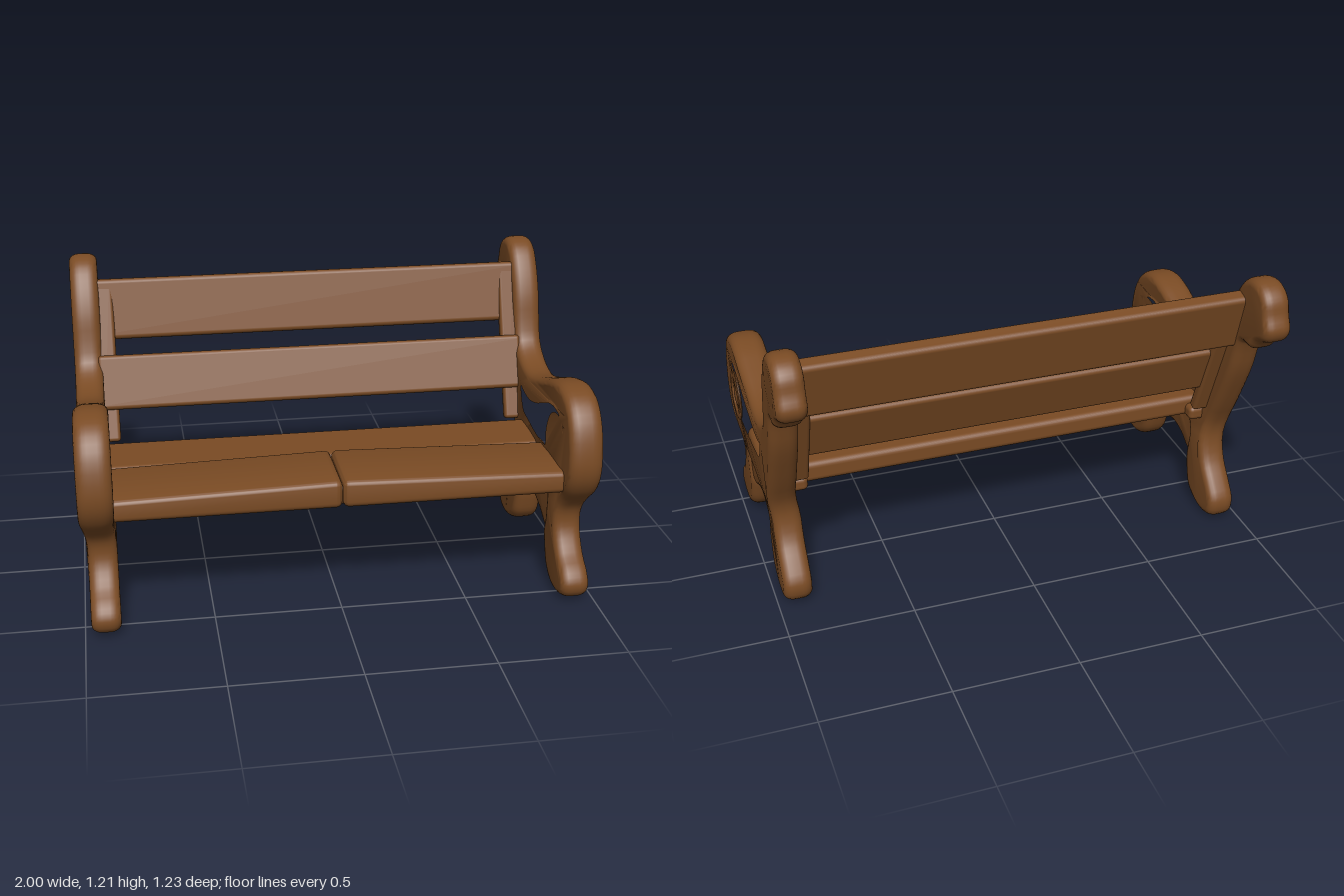
import * as THREE from 'three';
import { toCreasedNormals } from 'three/addons/utils/BufferGeometryUtils.js';
import { RoundedBoxGeometry } from 'three/addons/geometries/RoundedBoxGeometry.js';

const wood = new THREE.MeshStandardMaterial({ color: 0x7a4b24 });
wood.name = 'brown wood';

// Smooth closed loop through [z, y] points
function loop(points, samples) {
  const curve = new THREE.CatmullRomCurve3(points.map(([z, y]) => new THREE.Vector3(z, y, 0)), true);
  return curve.getPoints(samples).slice(0, -1).map(p => new THREE.Vector2(p.x, p.y));
}

// Side profile with rounded edges, 2 * half wide; place(z, y) gives [centre x, width factor]
function profile(outline, hole, half, place) {
  const shape = new THREE.Shape(loop(outline, 200));
  if (hole) shape.holes.push(new THREE.Path(loop(hole, 110)));
  const bevel = half * 0.72;
  const geo = new THREE.ExtrudeGeometry(shape, {
    depth: 2 * (half - bevel), bevelThickness: bevel, bevelSize: 0.03, bevelOffset: -0.03,
    bevelSegments: 5, steps: 1
  });
  geo.translate(0, 0, bevel - half);
  geo.rotateY(-Math.PI / 2);
  const p = geo.attributes.position;
  for (let i = 0; i < p.count; i++) {
    const [cx, f] = place(p.getZ(i), p.getY(i));
    p.setX(i, cx + p.getX(i) * f);
  }
  return toCreasedNormals(geo, 0.9);
}

const step = THREE.MathUtils.smoothstep;

const frameOutline = [
  // front foot
  [0.615, 0.08], [0.6, 0.03], [0.52, 0.002], [0.44, 0.01], [0.37, 0.06], [0.335, 0.14],
  // underside of the seat rail
  [0.32, 0.2], [0.335, 0.27], [0.325, 0.345], [0.27, 0.373], [0.1, 0.37], [-0.02, 0.365], [-0.068, 0.33], [-0.06, 0.25],
  // back foot
  [-0.055, 0.19], [-0.065, 0.13], [-0.09, 0.06], [-0.16, 0.015], [-0.25, 0.003], [-0.315, 0.03], [-0.325, 0.1],
  [-0.28, 0.17], [-0.22, 0.25], [-0.195, 0.38],
  // rear of the upright and its curled top
  [-0.27, 0.55], [-0.36, 0.75], [-0.4, 0.88], [-0.42, 0.915], [-0.49, 0.92], [-0.53, 0.965], [-0.595, 1.0],
  [-0.612, 1.045], [-0.59, 1.1], [-0.575, 1.155], [-0.535, 1.195], [-0.47, 1.21], [-0.4, 1.185], [-0.34, 1.11],
  [-0.29, 1.0], [-0.26, 0.88], [-0.23, 0.81],
  // armrest and front scroll
  [-0.15, 0.76], [-0.05, 0.74], [0.05, 0.755], [0.2, 0.805], [0.3, 0.838], [0.4, 0.85], [0.5, 0.82], [0.57, 0.74],
  [0.605, 0.6], [0.597, 0.52], [0.56, 0.45], [0.51, 0.4], [0.47, 0.34], [0.47, 0.26], [0.52, 0.18], [0.585, 0.13]
];
const armHole = [
  [-0.16, 0.69], [-0.08, 0.67], [0, 0.665], [0.1, 0.69], [0.2, 0.73], [0.3, 0.765], [0.38, 0.77], [0.45, 0.75],
  [0.495, 0.7], [0.503, 0.675], [0.46, 0.688], [0.4, 0.7], [0.34, 0.675], [0.305, 0.61], [0.306, 0.54],
  [0.29, 0.52], [0.22, 0.51], [0.1, 0.505], [0, 0.515], [-0.09, 0.535], [-0.14, 0.6], [-0.165, 0.67]
];
const archOutline = [
  [0.32, 0.185], [0.21, 0.23], [0.11, 0.255], [0.03, 0.24], [-0.05, 0.2], [-0.11, 0.25],
  [-0.11, 0.42], [0.1, 0.43], [0.39, 0.42], [0.39, 0.26]
];

export function createModel() {
  const bench = new THREE.Group();
  bench.name = 'bench';
  const add = (name, geo, x = 0, y = 0, z = 0, tilt = 0) => {
    const mesh = new THREE.Mesh(geo, wood);
    mesh.name = name;
    mesh.position.set(x, y, z);
    mesh.rotation.x = tilt;
    bench.add(mesh);
    return mesh;
  };
  const board = (name, w, h, d, r, x, y, z, tilt) =>
    add(name, new RoundedBoxGeometry(w, h, d, 3, r), x, y, z, tilt);

  for (const s of [1, -1]) {
    const side = s > 0 ? 'left' : 'right';

    // End frame, widest around the armrest and scroll
    const place = (z, y) => {
      const arm = step(y, 0.35, 0.5) * (1 - step(y, 0.86, 0.95)) * step(z, 0, 0.3);
      const cx = 0.918 + 0.017 * step(y, 0.3, 0.45);
      return [s * (cx - 0.002 * arm), (0.057 + 0.01 * arm) / 0.06];
    };
    add(side + 'EndFrame', profile(frameOutline, armHole, 0.06, place));

    // Recessed arch between the legs
    add(side + 'LegArch', profile(archOutline, null, 0.045, () => [s * 0.92, 1]));

    // Low rings and bosses on the scrolls
    for (const [name, z, y, r, x] of [['ArmScroll', 0.41, 0.575, 0.085, 0.992], ['TopScroll', -0.465, 1.075, 0.075, 0.985]]) {
      const ring = add(side + name + 'Ring', new THREE.TorusGeometry(r, 0.022, 10, 36), s * x, y, z);
      ring.rotation.y = Math.PI / 2;
      ring.scale.z = 0.35;
      const boss = add(side + name + 'Boss', new THREE.SphereGeometry(r * 0.5, 20, 14), s * x, y, z);
      boss.scale.x = 0.18;
    }

    // Inner cleats that carry the slats
    board(side + 'BackCleat', 0.08, 0.66, 0.045, 0.015, s * 0.86, 0.8, -0.275, -0.355);
    board(side + 'SeatCleat', 0.08, 0.06, 0.6, 0.02, s * 0.86, 0.45, 0.14, 0);

    // Front seat board half, rising gently towards the middle
    const half = new RoundedBoxGeometry(0.885, 0.09, 0.33, 4, 0.025);
    const p = half.attributes.position;
    for (let i = 0; i < p.count; i++) {
      const inner = 0.5 - s * p.getX(i) / 0.885;
      if (p.getY(i) > 0) p.setY(i, p.getY(i) + 0.022 * inner);
    }
    half.computeVertexNormals();
    add(side + 'FrontSeatBoard', toCreasedNormals(half, 0.7), s * 0.444, 0.487, 0.363);
  }

  // Join between the two front boards
  board('frontBoardJoin', 0.06, 0.08, 0.29, 0.02, 0, 0.487, 0.36, 0);

  // Rear seat slat and tilted back slats
  board('rearSeatSlat', 1.8, 0.09, 0.27, 0.025, 0, 0.465, 0.025, 0);
  board('lowerBackSlat', 1.8, 0.225, 0.055, 0.018, 0, 0.725, -0.232, -0.36);
  board('upperBackSlat', 1.8, 0.25, 0.07, 0.02, 0, 1.0, -0.37, -0.27);

  return bench;
}
